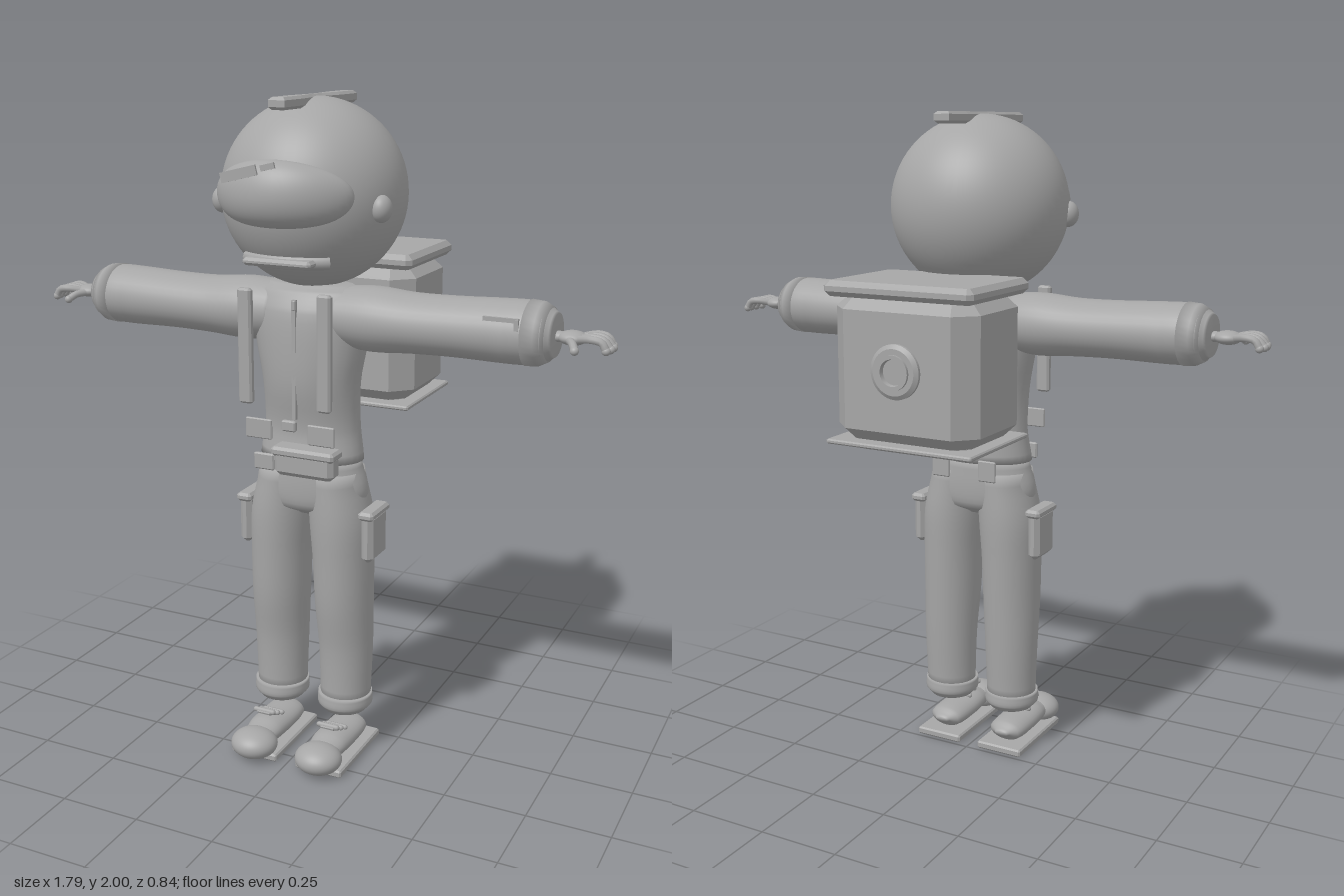
import * as THREE from 'three';

const grey = new THREE.MeshStandardMaterial({ color: 0xa6a6a6 });
grey.name = 'suit grey';

// Closed loft along y through rings [y, cx, cz, rx, rz]
function loft(rings, n = 32) {
  const first = rings[0], last = rings[rings.length - 1];
  const all = [[first[0], first[1], first[2], 0, 0], ...rings, [last[0], last[1], last[2], 0, 0]];
  const pos = [], idx = [];
  all.forEach(([y, cx, cz, rx, rz], r) => {
    for (let i = 0; i < n; i++) {
      const a = (i / n) * Math.PI * 2;
      pos.push(cx + rx * Math.sin(a), y, cz + rz * Math.cos(a));
      if (r === all.length - 1) continue;
      const p = r * n + i, q = r * n + (i + 1) % n;
      idx.push(p, q, q + n, p, q + n, p + n);
    }
  });
  const g = new THREE.BufferGeometry();
  g.setAttribute('position', new THREE.Float32BufferAttribute(pos, 3));
  g.setIndex(idx);
  g.computeVertexNormals();
  return g;
}

// Smooth the spacing of sparse rings with a spline
function smoothRings(rings, steps = 4) {
  const out = [];
  for (let i = 0; i < rings.length - 1; i++) {
    const [a, b, c, d] = [i - 1, i, i + 1, i + 2].map(k => rings[THREE.MathUtils.clamp(k, 0, rings.length - 1)]);
    for (let s = 0; s < steps; s++) {
      const t = s / steps;
      out.push(b.map((v, k) => k === 0 ? v + (c[0] - v) * t
        : 0.5 * (2 * v + (c[k] - a[k]) * t + (2 * a[k] - 5 * v + 4 * c[k] - d[k]) * t * t
          + (3 * v - a[k] - 3 * c[k] + d[k]) * t * t * t)));
    }
  }
  out.push(rings[rings.length - 1]);
  return out;
}

// Plan outline [x, z] extruded up y with chamfered top and bottom, centred on height
function prism(points, h, bevel) {
  const shape = new THREE.Shape(points.map(([x, z]) => new THREE.Vector2(x, -z)));
  const g = new THREE.ExtrudeGeometry(shape, {
    depth: h - 2 * bevel, bevelEnabled: bevel > 0, bevelThickness: bevel,
    bevelSize: bevel, bevelOffset: -bevel, bevelSegments: 1,
  });
  g.translate(0, 0, -(h - 2 * bevel) / 2);
  return g.rotateX(-Math.PI / 2);
}

// Box with chamfered edges; cut also trims the vertical corners
function block(w, h, d, bevel = 0.008, cut = bevel) {
  const x = w / 2, z = d / 2;
  return prism([[x - cut, z], [x, z - cut], [x, cut - z], [x - cut, -z],
    [cut - x, -z], [-x, cut - z], [-x, z - cut], [cut - x, z]], h, bevel);
}

const ball = (rx, ry, rz) => new THREE.SphereGeometry(1, 40, 28).scale(rx, ry, rz);

export function createModel() {
  const model = new THREE.Group();
  model.name = 'astronaut';
  const add = (name, geo, x = 0, y = 0, z = 0, rx = 0, ry = 0, rz = 0) => {
    const m = new THREE.Mesh(geo, grey);
    m.name = name;
    m.position.set(x, y, z);
    m.rotation.set(rx, ry, rz);
    model.add(m);
    return m;
  };
  const tube = (name, pts, r) => add(name, new THREE.TubeGeometry(
    new THREE.CatmullRomCurve3(pts.map(p => new THREE.Vector3(...p))), 10, r, 10));

  // Helmet with crest
  add('helmet', new THREE.SphereGeometry(0.267, 56, 40), 0, 1.728, 0.086);
  add('helmetCrest', prism([[-0.025, 0.23], [-0.025, 0.12], [-0.013, 0.03], [-0.013, -0.03], [-0.025, -0.12],
    [-0.025, -0.23], [0.025, -0.23], [0.025, -0.12], [0.013, -0.03], [0.013, 0.03], [0.025, 0.12], [0.025, 0.23]],
  0.034, 0.008), 0, 1.983, 0.086);

  // Visor wraps around the helmet and dips at the middle of its lower edge
  const visor = ball(0.207, 0.097, 0.069), v = visor.attributes.position;
  for (let i = 0; i < v.count; i++) {
    const x = v.getX(i), y = v.getY(i);
    v.setZ(i, v.getZ(i) - 1.6 * x * x);
    if (y < 0) v.setY(i, y * (0.88 + 5 * x * x));
  }
  visor.computeVertexNormals();
  add('visor', visor, 0, 1.743, 0.34);
  add('visorGlintLong', new THREE.BoxGeometry(0.11, 0.028, 0.006), -0.065, 1.806, 0.411, 0, 0, 0.24);
  add('visorGlintShort', new THREE.BoxGeometry(0.042, 0.016, 0.006), 0.022, 1.828, 0.411, 0, 0, 0.24);

  // Chin guard
  add('chinGuard', new THREE.TorusGeometry(0.205, 0.02, 10, 24, 1.3)
    .rotateZ(Math.PI / 2 - 0.65).rotateX(Math.PI / 2), 0, 1.56, 0.09);
  add('chinBar', block(0.21, 0.022, 0.05), 0, 1.56, 0.31);

  // Torso and hips
  add('torso', loft(smoothRings([[0.953, 0, 0.108, 0.163, 0.11], [1.05, 0, 0.103, 0.15, 0.102],
    [1.18, 0, 0.11, 0.15, 0.116], [1.3, 0, 0.11, 0.172, 0.118], [1.4, 0, 0.107, 0.19, 0.112],
    [1.455, 0, 0.105, 0.175, 0.085], [1.475, 0, 0.105, 0.13, 0.05]])));
  add('hips', loft(smoothRings([[0.78, 0, 0.108, 0.1, 0.05], [0.81, 0, 0.108, 0.165, 0.1],
    [0.87, 0, 0.108, 0.178, 0.11], [0.955, 0, 0.108, 0.152, 0.107]])));

  // Zip, waist plates, buckle and pouch
  add('zip', new THREE.BoxGeometry(0.012, 0.35, 0.012), 0, 1.265, 0.222);
  add('zipPull', block(0.014, 0.03, 0.016, 0.003), 0, 1.425, 0.222);
  add('buckle', block(0.045, 0.032, 0.016, 0.004), 0, 1.08, 0.258);
  for (const s of [-1, 1]) {
    add('frontPlate', block(0.085, 0.06, 0.009, 0.003), s * 0.1, 1.06, 0.255);
    add('backPlate', block(0.06, 0.065, 0.009, 0.003), s * 0.08, 0.938, -0.016);
  }
  add('lowerPlate', block(0.066, 0.05, 0.012, 0.004), -0.092, 0.956, 0.24);
  add('pouch', block(0.19, 0.075, 0.06, 0.014), 0.06, 0.977, 0.27);
  add('pouchFlap', block(0.2, 0.028, 0.07, 0.008), 0.06, 1.012, 0.27);

  // Parts on both sides
  for (const s of [-1, 1]) {
    // Ear caps and chest straps
    add('earCap', ball(0.03, 0.038, 0.034), s * 0.247, 1.705, 0.18);
    add('chestStrap', block(0.043, 0.335, 0.024, 0.006), s * 0.124, 1.308, 0.282);

    // Sleeve, lofted sideways
    const arm = [[0.08, 1.385, 0.085, 0.095], [0.2, 1.383, 0.094, 0.104], [0.32, 1.382, 0.086, 0.1],
      [0.45, 1.384, 0.085, 0.098], [0.6, 1.386, 0.089, 0.098], [0.66, 1.387, 0.088, 0.097],
      [0.705, 1.387, 0.08, 0.085], [0.732, 1.387, 0.06, 0.062]];
    add('sleeve', loft(smoothRings(arm.map(([t, y, ry, rz]) => [t, -s * y, 0.106, ry, rz])))
      .rotateZ(-s * Math.PI / 2));
    add('sleeveCuff', loft([[0.655, -s * 1.387, 0.106, 0.091, 0.1], [0.69, -s * 1.387, 0.106, 0.088, 0.095],
      [0.715, -s * 1.387, 0.106, 0.075, 0.078]]).rotateZ(-s * Math.PI / 2));

    // Hand: palm, four curled fingers and a thumb
    add('wrist', ball(0.025, 0.015, 0.02), s * 0.738, 1.385, 0.108);
    add('palm', ball(0.04, 0.02, 0.038), s * 0.775, 1.385, 0.108);
    for (let f = 0; f < 4; f++) {
      const z = 0.072 + f * 0.025, tip = 0.885 - Math.abs(f - 1.4) * 0.006;
      tube('finger', [[s * 0.79, 1.385, 0.095 + f * 0.01], [s * 0.835, 1.393, z],
        [s * 0.863, 1.387, z], [s * tip, 1.366, z]], 0.011);
      add('fingertip', ball(0.012, 0.012, 0.012), s * tip, 1.366, z);
    }
    tube('thumb', [[s * 0.772, 1.383, 0.135], [s * 0.79, 1.38, 0.165], [s * 0.802, 1.368, 0.188]], 0.011);
    add('thumbTip', ball(0.012, 0.012, 0.012), s * 0.802, 1.368, 0.188);

    // Trouser leg and cuff
    add('leg', loft(smoothRings([[0.17, s * 0.11, 0.102, 0.078, 0.078], [0.35, s * 0.11, 0.1, 0.083, 0.086],
      [0.5, s * 0.107, 0.107, 0.088, 0.1], [0.65, s * 0.104, 0.108, 0.091, 0.107],
      [0.78, s * 0.097, 0.108, 0.094, 0.111], [0.92, s * 0.08, 0.108, 0.08, 0.105]])));
    add('legCuff', loft(smoothRings([[0.14, s * 0.11, 0.105, 0.068, 0.07], [0.16, s * 0.11, 0.105, 0.085, 0.086],
      [0.195, s * 0.11, 0.105, 0.084, 0.084]])));

    // Thigh pocket
    add('thighPocket', block(0.04, 0.15, 0.118, 0.014), s * 0.203, 0.73, 0.11);
    add('thighPocketFlap', block(0.05, 0.026, 0.134, 0.008), s * 0.203, 0.803, 0.11);

    // Shoe: sole, heel body lofted forward, toe cap, laces
    const x = s * 0.11;
    add('sole', block(0.155, 0.024, 0.295, 0.005), x, 0.016, 0.158);
    add('shoeBody', loft(smoothRings([[0.03, 0, -0.065, 0.02, 0.008], [0.065, 0, -0.062, 0.055, 0.032],
      [0.15, 0, -0.062, 0.06, 0.036], [0.22, 0, -0.064, 0.058, 0.037], [0.27, 0, -0.06, 0.05, 0.03]]))
      .rotateX(Math.PI / 2), x, 0, 0);
    add('toeCap', ball(0.073, 0.045, 0.068), x, 0.053, 0.298);
    add('tongue', block(0.05, 0.012, 0.09, 0.004), x, 0.108, 0.198, -0.43);
    for (const [y, z] of [[0.128, 0.23], [0.113, 0.2], [0.1, 0.17]]) {
      add('lace', new THREE.CapsuleGeometry(0.008, 0.06, 4, 10).rotateZ(Math.PI / 2), x, y, z);
    }
  }

  // Left sleeve pocket trim
  add('sleevePocketTrim', new THREE.BoxGeometry(0.1, 0.012, 0.008), 0.6, 1.434, 0.192);
  add('sleevePocketTab', new THREE.BoxGeometry(0.012, 0.04, 0.008), 0.645, 1.418, 0.197);

  // Backpack
  const pz = -0.23;
  add('packBody', block(0.465, 0.41, 0.34, 0.035, 0.06), 0, 1.293, pz);
  add('packLid', block(0.48, 0.045, 0.355, 0.015), 0, 1.518, pz);
  add('packBasePlate', block(0.475, 0.014, 0.35, 0.004), 0, 1.078, pz);
  add('packFoot', block(0.37, 0.06, 0.245, 0.022), 0, 1.08, pz);

  // Round dial on the back of the pack
  const dial = [[0, 0], [0.078, 0], [0.078, 0.012], [0.066, 0.02], [0.05, 0.02], [0.05, 0.028],
    [0.038, 0.028], [0.036, 0.014], [0, 0.014]];
  dial.slice(1).forEach((p, i) => add('dialRing', new THREE.LatheGeometry(
    [dial[i], p].map(([r, h]) => new THREE.Vector2(r, h)), 40).rotateX(-Math.PI / 2), 0, 1.3, -0.397));
  return model;
}
